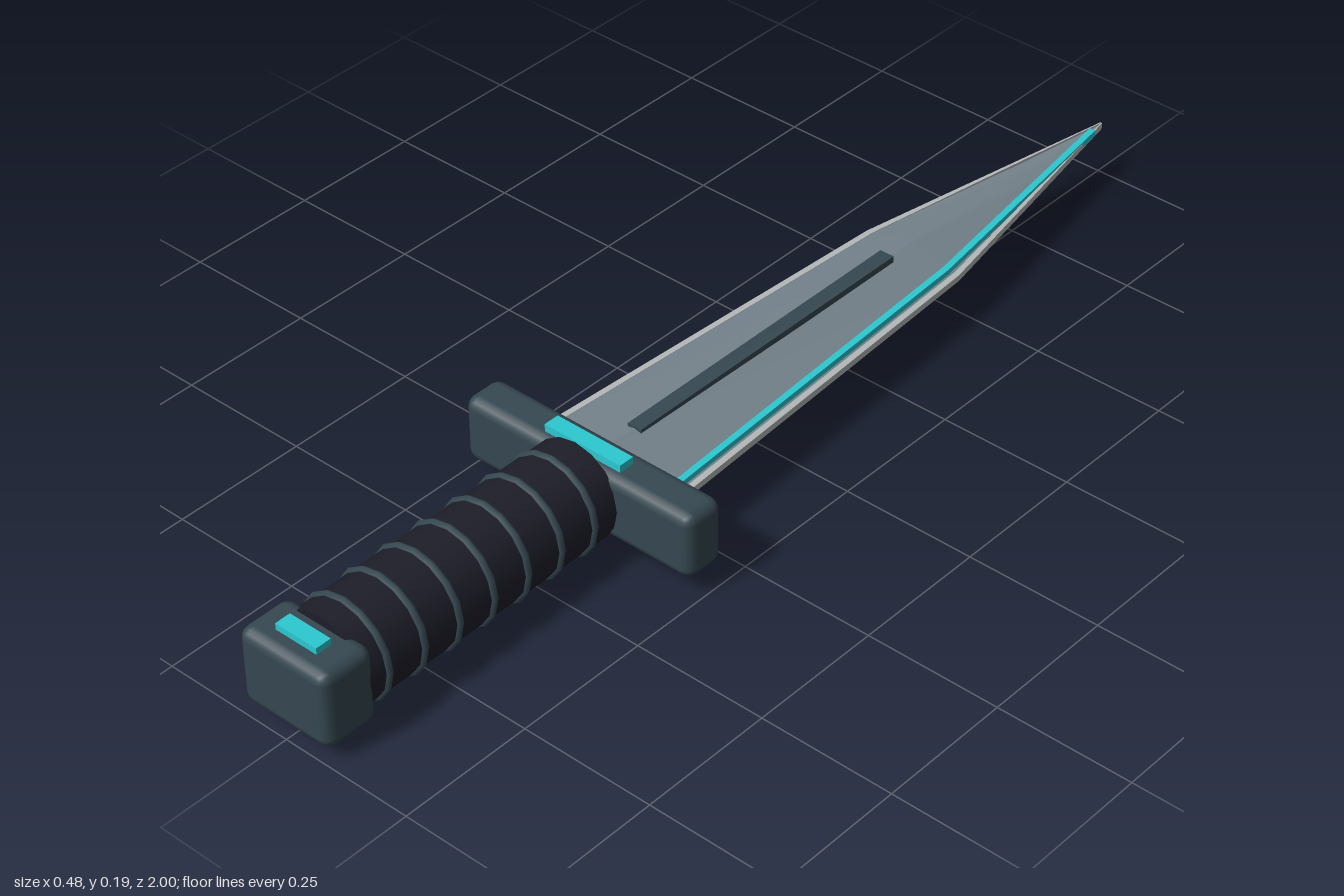
import * as THREE from 'three';
import { RoundedBoxGeometry } from 'three/addons/geometries/RoundedBoxGeometry.js';

const CY = 0.1; // height of the dagger's long axis

function material(name, color) {
  const m = new THREE.MeshStandardMaterial({ color });
  m.name = name;
  return m;
}

// Solid through cross-sections listed from +z to -z, corners counter-clockwise seen from +z
function loft(rings) {
  const n = rings[0].length, pos = [];
  const tri = (...pts) => pts.forEach((p) => pos.push(...p));
  for (let k = 0; k < rings.length - 1; k++) {
    for (let i = 0; i < n; i++) {
      const j = (i + 1) % n;
      const a = rings[k][i], b = rings[k][j], c = rings[k + 1][i], d = rings[k + 1][j];
      tri(a, c, b);
      tri(b, c, d);
    }
  }
  const first = rings[0], last = rings[rings.length - 1];
  for (let i = 1; i < n - 1; i++) {
    tri(first[0], first[i], first[i + 1]);
    tri(last[0], last[i + 1], last[i]);
  }
  const g = new THREE.BufferGeometry();
  g.setAttribute('position', new THREE.Float32BufferAttribute(pos, 3));
  g.computeVertexNormals();
  return g;
}

const rect = (x0, x1, y0, y1, z) => [[x0, y0, z], [x1, y0, z], [x1, y1, z], [x0, y1, z]];

export function createModel() {
  const group = new THREE.Group();
  const steel = material('blade steel', 0x75838c);
  const edgeSteel = material('sharpened edge', 0xb4b8b8);
  const slate = material('slate metal', 0x364851);
  const wrap = material('dark grip', 0x1e1e2a);
  const cyan = material('cyan accent', 0x2cc8d0);

  const add = (name, geometry, mat, x = 0, y = 0, z = 0) => {
    const mesh = new THREE.Mesh(geometry, mat);
    mesh.name = name;
    mesh.position.set(x, y, z);
    group.add(mesh);
    return mesh;
  };

  // Blade stations: z, half width, half thickness at the ridge
  const stations = [[0.31, 0.146, 0.04], [-0.47, 0.1, 0.03], [-0.83, 0.034, 0.008], [-0.99, 0.004, 0.004]];
  const E = 0.005, BEVEL = 0.01;
  add('blade', loft(stations.map(([z, w, t]) => {
    const x = Math.max(w - BEVEL, 0.001), e = Math.min(E, t);
    return [[x, CY - e, z], [x, CY + e, z], [0, CY + t, z], [-x, CY + e, z], [-x, CY - e, z], [0, CY - t, z]];
  })), steel);

  // Bright cutting edges running to the tip
  const edgeStations = [[0.31, 0.146], [-0.47, 0.1], [-1, 0.002]];
  for (const s of [1, -1]) {
    add(s > 0 ? 'leftEdge' : 'rightEdge', loft(edgeStations.map(([z, w]) => {
      const inner = Math.max(w - BEVEL - 0.001, 0);
      return s > 0 ? rect(inner, w, CY - 0.006, CY + 0.006, z) : rect(-w, -inner, CY - 0.006, CY + 0.006, z);
    })), edgeSteel);
  }

  // Raised centre bar and the glowing line beside one edge
  add('centreBar', new THREE.BoxGeometry(0.028, 0.012, 0.63), slate, 0, 0.136, -0.085);
  const line = [[0.27, 0.123, 0.116], [-0.46, 0.08, 0.117], [-0.97, 0.003, 0.108]];
  add('edgeLine', loft(line.map(([z, x, y]) => rect(x - 0.006, x + 0.006, y - 0.012, y, z))), cyan);

  // Cross guard with its inlay
  add('guard', new RoundedBoxGeometry(0.48, 0.124, 0.08, 2, 0.02), slate, 0, CY, 0.33);
  add('guardInlay', new THREE.BoxGeometry(0.16, 0.018, 0.03), cyan, 0, 0.167, 0.335);

  // Grip with raised rings
  const grip = new THREE.CylinderGeometry(0.09, 0.09, 0.55, 16);
  grip.rotateX(Math.PI / 2);
  add('grip', grip, wrap, 0, CY, 0.64);
  for (let i = 0; i < 7; i++) {
    add('gripRing', new THREE.TorusGeometry(0.089, 0.007, 6, 16), slate, 0, CY, 0.42 + i * 0.0745);
  }

  // Pommel with its inlay
  add('pommel', new RoundedBoxGeometry(0.184, 0.144, 0.105, 2, 0.02), slate, 0, CY, 0.9475);
  add('pommelInlay', new THREE.BoxGeometry(0.086, 0.016, 0.03), cyan, 0, 0.176, 0.95);

  return group;
}
